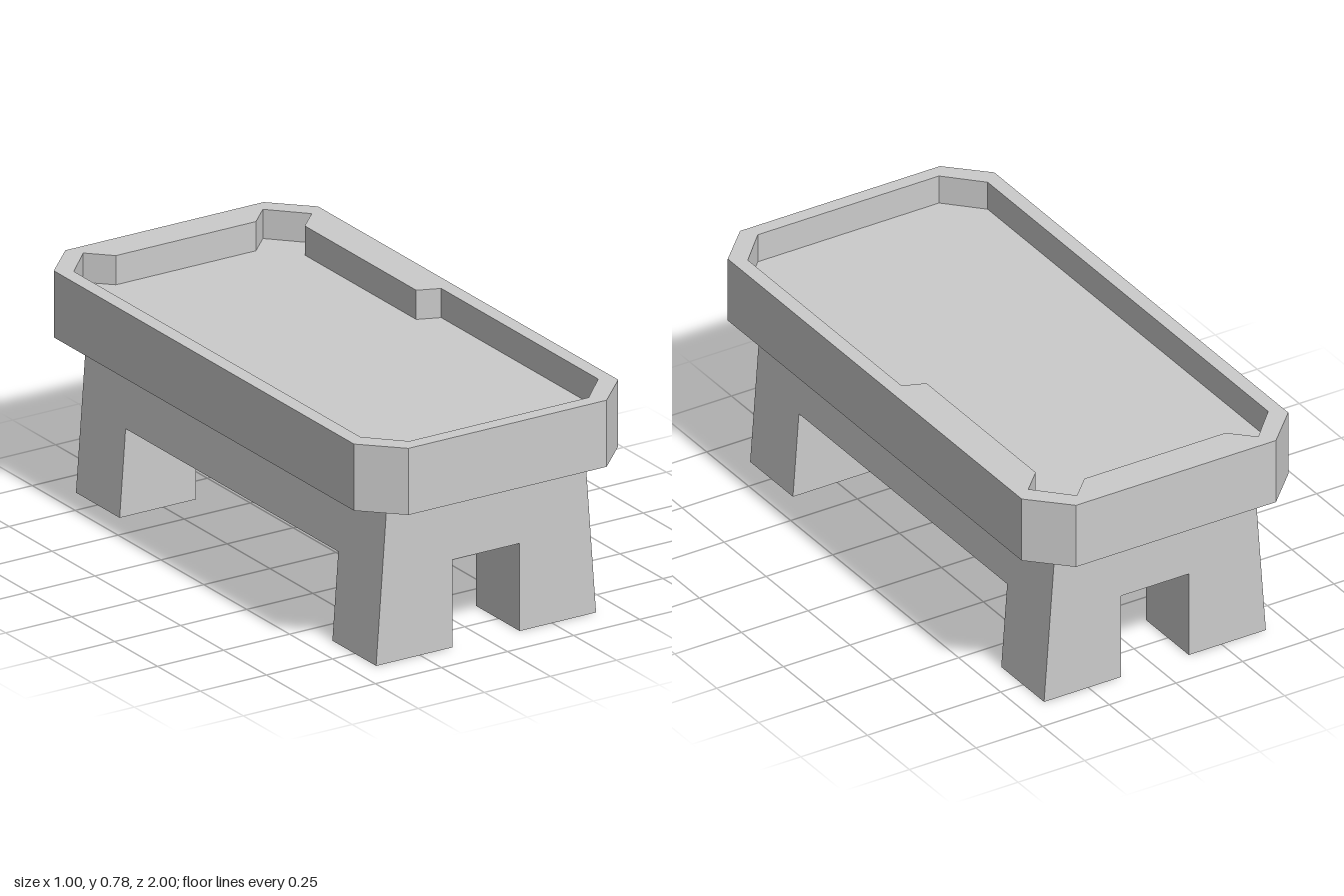
import * as THREE from 'three';

const TOP = 0.778, FLOOR = 0.678, UNDER = 0.55, ARCH = 0.3, POCKET = 0.4;
const ARCH_X = 0.127, END_Z = 0.875, ARCH_Z = 0.62;

const material = new THREE.MeshStandardMaterial({ color: 0xcccccc, flatShading: true });

const toPoints = (list) => list.map(([x, y]) => new THREE.Vector2(x, y));

function addMesh(group, name, geometry) {
  const mesh = new THREE.Mesh(geometry, material);
  mesh.name = name;
  group.add(mesh);
}

// Plan outline (x, z) extruded downwards from yTop to yBottom
function slab(shape, yTop, yBottom) {
  return new THREE.ExtrudeGeometry(shape, { depth: yTop - yBottom, bevelEnabled: false })
    .rotateX(Math.PI / 2)
    .translate(0, yTop, 0);
}

// Front outline (x, y), given as its +x half and mirrored, extruded from z0 to z1
function section(half, z0, z1) {
  const mirrored = half.map(([x, y]) => [-x, y]).reverse();
  const shape = new THREE.Shape(toPoints([...half, ...mirrored]));
  return new THREE.ExtrudeGeometry(shape, { depth: z1 - z0, bevelEnabled: false })
    .translate(0, 0, z0);
}

// Half width of the splayed base at height y
const baseX = (y) => 0.416 - (0.041 * y) / UNDER;

export function createModel() {
  const model = new THREE.Group();
  model.name = 'table';

  // Table top: chamfered rim around a recessed floor (outline counter-clockwise, recess clockwise)
  const outline = [
    [0.375, -1], [0.5, -0.875], [0.5, 0.875], [0.375, 1],
    [-0.375, 1], [-0.5, 0.875], [-0.5, -0.875], [-0.375, -1],
  ];
  // Recess with a thicker rim along the back and half of the left side
  const recess = [
    [0.34, 0.95], [0.45, 0.835], [0.45, -0.08], [0.375, -0.11],
    [0.375, -0.76], [0.45, -0.835], [0.34, -0.95], [0.265, -0.875],
    [-0.265, -0.875], [-0.34, -0.95], [-0.45, -0.835], [-0.45, 0.835], [-0.34, 0.95],
  ];
  const rim = new THREE.Shape(toPoints(outline));
  rim.holes.push(new THREE.Path(toPoints(recess)));
  addMesh(model, 'rim', slab(rim, TOP, UNDER));
  addMesh(model, 'recessedFloor', slab(new THREE.Shape(toPoints(recess)), FLOOR, UNDER));

  // Arched leg pairs at the front and back
  const legs = [[ARCH_X, ARCH], [ARCH_X, 0], [baseX(0), 0], [baseX(UNDER), UNDER]];
  addMesh(model, 'frontLegs', section(legs, ARCH_Z, END_Z));
  addMesh(model, 'backLegs', section(legs, -END_Z, -ARCH_Z));

  // Body between the legs, with a long pocket underneath
  const body = [[ARCH_X, POCKET], [ARCH_X, ARCH], [baseX(ARCH), ARCH], [baseX(UNDER), UNDER]];
  addMesh(model, 'body', section(body, -ARCH_Z, ARCH_Z));

  return model;
}
